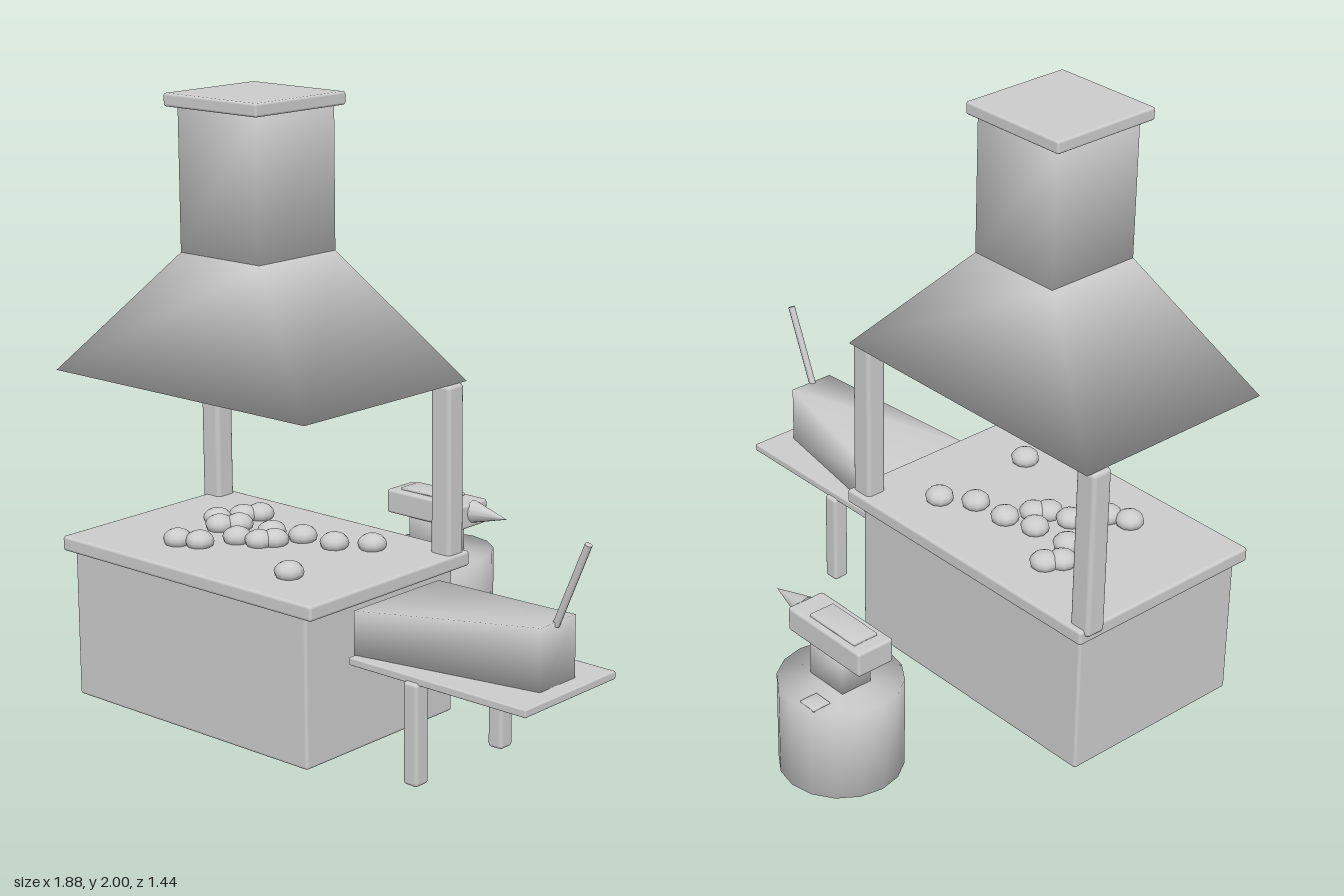
import * as THREE from 'three';
import { mergeVertices } from 'three/addons/utils/BufferGeometryUtils.js';
import { RoundedBoxGeometry } from 'three/addons/geometries/RoundedBoxGeometry.js';

const grey = new THREE.MeshStandardMaterial({ color: 0xcccccc });
grey.name = 'plain grey';

// Share normals across every edge for a soft, rounded shading
function smooth(geo) {
  geo.deleteAttribute('normal');
  geo.deleteAttribute('uv');
  const merged = mergeVertices(geo, 1e-4);
  merged.computeVertexNormals();
  return merged;
}

function add(parent, name, geo) {
  const mesh = new THREE.Mesh(geo, grey);
  mesh.name = name;
  parent.add(mesh);
  return mesh;
}

// Boxes are given by their ranges along x, y and z
function placed(parent, name, geo, [x0, x1], [y0, y1], [z0, z1]) {
  const mesh = add(parent, name, geo);
  mesh.position.set((x0 + x1) / 2, (y0 + y1) / 2, (z0 + z1) / 2);
  return mesh;
}
function softBox(parent, name, x, y, z) {
  const geo = new THREE.BoxGeometry(x[1] - x[0], y[1] - y[0], z[1] - z[0]);
  return placed(parent, name, smooth(geo), x, y, z);
}
function bevelBox(parent, name, x, y, z, r = 0.01) {
  const geo = new RoundedBoxGeometry(x[1] - x[0], y[1] - y[0], z[1] - z[0], 2, r);
  return placed(parent, name, geo, x, y, z);
}

// Move box corners by a rule taking each corner's signs
function shapedBox(parent, name, rule) {
  const geo = new THREE.BoxGeometry(2, 2, 2);
  const p = geo.attributes.position;
  for (let i = 0; i < p.count; i++) p.setXYZ(i, ...rule(p.getX(i), p.getY(i), p.getZ(i)));
  return add(parent, name, smooth(geo));
}

// Straight round bar between two points
function bar(parent, name, from, to, r0, r1, sides) {
  const a = new THREE.Vector3(...from), b = new THREE.Vector3(...to);
  const dir = b.clone().sub(a);
  const mesh = add(parent, name, new THREE.CylinderGeometry(r1, r0, dir.length(), sides));
  mesh.position.copy(a).add(b).multiplyScalar(0.5);
  mesh.quaternion.setFromUnitVectors(new THREE.Vector3(0, 1, 0), dir.normalize());
  return mesh;
}

function part(root, name) {
  const g = new THREE.Group();
  g.name = name;
  root.add(g);
  return g;
}

export function createModel() {
  const root = new THREE.Group();
  root.name = 'forge';

  // Hearth with its slab and the posts for the hood
  const hearth = part(root, 'hearth');
  bevelBox(hearth, 'hearthBase', [-0.905, 0.125], [0, 0.51], [0.005, 0.69]);
  bevelBox(hearth, 'hearthSlab', [-0.935, 0.172], [0.495, 0.545], [-0.026, 0.718]);
  for (const x of [[-0.948, -0.868], [0.083, 0.163]])
    bevelBox(hearth, 'hoodPost', x, [0.52, 1.1], [-0.008, 0.067], 0.015);

  // Hood, chimney and cap
  const flue = part(root, 'flue');
  shapedBox(flue, 'hood', (x, y, z) => y > 0
    ? [-0.391 + x * 0.171, 1.5, 0.342 + z * 0.171]
    : [-0.39 + x * 0.545, 1.1, 0.345 + z * 0.372]);
  softBox(flue, 'chimney', [-0.562, -0.22], [1.5, 1.965], [0.171, 0.513]);
  bevelBox(flue, 'chimneyCap', [-0.594, -0.193], [1.958, 2], [0.144, 0.545], 0.008);

  // Coals scattered over the slab
  const coals = part(root, 'coals');
  const coalGeo = new THREE.SphereGeometry(0.048, 10, 8);
  [[-0.66, 0.28], [-0.62, 0.2], [-0.59, 0.15], [-0.6, 0.33], [-0.56, 0.28],
    [-0.59, 0.53], [-0.52, 0.5], [-0.46, 0.39], [-0.42, 0.27], [-0.38, 0.37],
    [-0.35, 0.33], [-0.31, 0.24], [-0.18, 0.23], [-0.08, 0.16], [-0.08, 0.545]
  ].forEach(([x, z]) => {
    const coal = add(coals, 'coal', coalGeo);
    coal.position.set(x, 0.562, z);
    coal.scale.y = 0.7;
  });

  // Bellows on its stand: wide and low toward the hearth, narrow and tall at the far end
  const bellows = part(root, 'bellows');
  bevelBox(bellows, 'standTop', [0.184, 0.872], [0.322, 0.348], [0.128, 0.563], 0.005);
  for (const z of [[0.115, 0.174], [0.517, 0.576]])
    bevelBox(bellows, 'standLeg', [0.412, 0.468], [0, 0.33], z, 0.012);
  shapedBox(bellows, 'bellowsBody', (x, y, z) => x > 0
    ? [0.815, y > 0 ? 0.547 : 0.34, 0.34 + z * 0.084]
    : [0.184, y > 0 ? 0.49 : 0.34, 0.34 + z * 0.198]);
  bar(bellows, 'nozzle', [0.1, 0.43, 0.342], [0.21, 0.412, 0.342], 0.026, 0.026, 12);
  bar(bellows, 'handle', [0.81, 0.535, 0.345], [0.925, 0.805, 0.345], 0.012, 0.012, 8);

  // Stump carrying the anvil
  const anvil = part(root, 'anvil');
  const stump = add(anvil, 'stump', smooth(new THREE.CylinderGeometry(0.2, 0.2, 0.32, 16)));
  stump.position.set(-0.39, 0.16, -0.52);
  softBox(anvil, 'stumpChip', [-0.48, -0.415], [0.317, 0.325], [-0.7, -0.637]);
  softBox(anvil, 'anvilWaist', [-0.468, -0.312], [0.315, 0.44], [-0.577, -0.465]);
  bevelBox(anvil, 'anvilBody', [-0.56, -0.217], [0.435, 0.52], [-0.588, -0.45]);
  softBox(anvil, 'anvilFace', [-0.515, -0.303], [0.515, 0.528], [-0.568, -0.477]);
  bar(anvil, 'anvilHorn', [-0.225, 0.487, -0.518], [-0.075, 0.487, -0.518], 0.04, 0, 12);

  return root;
}
